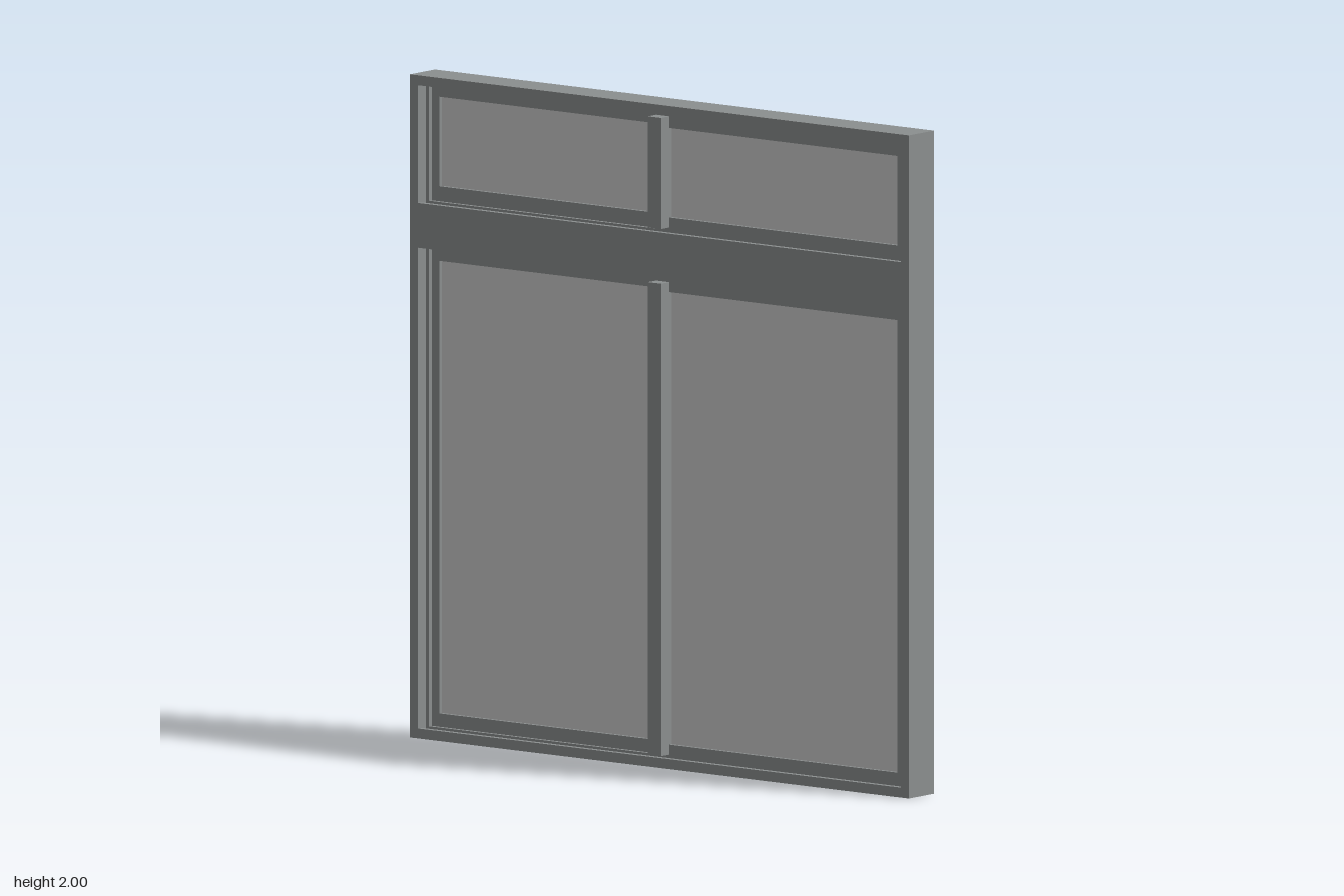
import * as THREE from 'three';

const frameMat = new THREE.MeshStandardMaterial({ color: 0x8b8f8f, flatShading: true });
const glassMat = new THREE.MeshStandardMaterial({ color: 0xcccccc, flatShading: true });

// Visible openings: the transom light above, the main light below
const OPEN_X = 0.92;
const LIGHTS = [
  { name: 'upper', y0: 1.615, y1: 1.97, glassY0: 1.66, glassY1: 1.93, stripY0: 1.63, stripY1: 1.965 },
  { name: 'lower', y0: 0.03, y1: 1.48, glassY0: 0.07, glassY1: 1.435, stripY0: 0.04, stripY1: 1.465 },
];

function tracePath(path, [x0, y0, x1, y1]) {
  path.moveTo(x0, y0);
  path.lineTo(x1, y0);
  path.lineTo(x1, y1);
  path.lineTo(x0, y1);
  path.closePath();
  return path;
}

// Rectangular plate with rectangular holes, between two depths
function plate(name, outer, holes, z0, z1) {
  const shape = tracePath(new THREE.Shape(), outer);
  holes.forEach((h) => shape.holes.push(tracePath(new THREE.Path(), h)));
  const geo = new THREE.ExtrudeGeometry(shape, { depth: z1 - z0, bevelEnabled: false });
  geo.translate(0, 0, z0);
  const mesh = new THREE.Mesh(geo, frameMat);
  mesh.name = name;
  return mesh;
}

function box(name, [x0, y0, x1, y1], z0, z1, material) {
  const mesh = new THREE.Mesh(new THREE.BoxGeometry(x1 - x0, y1 - y0, z1 - z0), material);
  mesh.position.set((x0 + x1) / 2, (y0 + y1) / 2, (z0 + z1) / 2);
  mesh.name = name;
  return mesh;
}

// Sliding panel: a frame round one pane of glass
function sash(name, outer, pane, z0, z1) {
  const group = new THREE.Group();
  group.name = name;
  group.add(plate('sashFrame', outer, [pane], z0, z1));
  const mid = (z0 + z1) / 2;
  group.add(box('glass', pane, mid - 0.005, mid + 0.005, glassMat));
  return group;
}

export function createModel() {
  const model = new THREE.Group();
  model.name = 'slidingWindow';

  // Outer frame in layers: lips and a centre rib with deeper track grooves between them
  const frame = new THREE.Group();
  frame.name = 'outerFrame';
  const layers = [
    ['frontLip', 0.033, 0.05, 0],
    ['frontTrack', -0.004, 0.033, 0.012],
    ['centreRib', -0.016, -0.004, 0],
    ['backTrack', -0.053, -0.016, 0.012],
    ['backLip', -0.07, -0.053, 0],
  ];
  for (const [name, z0, z1, grow] of layers) {
    const holes = LIGHTS.map((l) => [-OPEN_X - grow, l.y0 - grow, OPEN_X + grow, l.y1 + grow]);
    frame.add(plate(name, [-0.95, 0, 0.95, 2], holes, z0, z1));
  }
  model.add(frame);

  // Each light has a front panel on the left, a back panel on the right and a meeting strip
  for (const l of LIGHTS) {
    model.add(sash(l.name + 'FrontSash', [-0.028, l.y0, OPEN_X, l.y1],
      [0.02, l.glassY0, 0.89, l.glassY1], -0.003, 0.03));
    model.add(sash(l.name + 'BackSash', [-OPEN_X, l.y0, 0.03, l.y1],
      [-0.89, l.glassY0, -0.028, l.glassY1], -0.05, -0.017));
    model.add(box(l.name + 'MeetingStrip', [-0.03, l.stripY0, 0.021, l.stripY1], 0.028, 0.07, frameMat));
  }
  return model;
}
